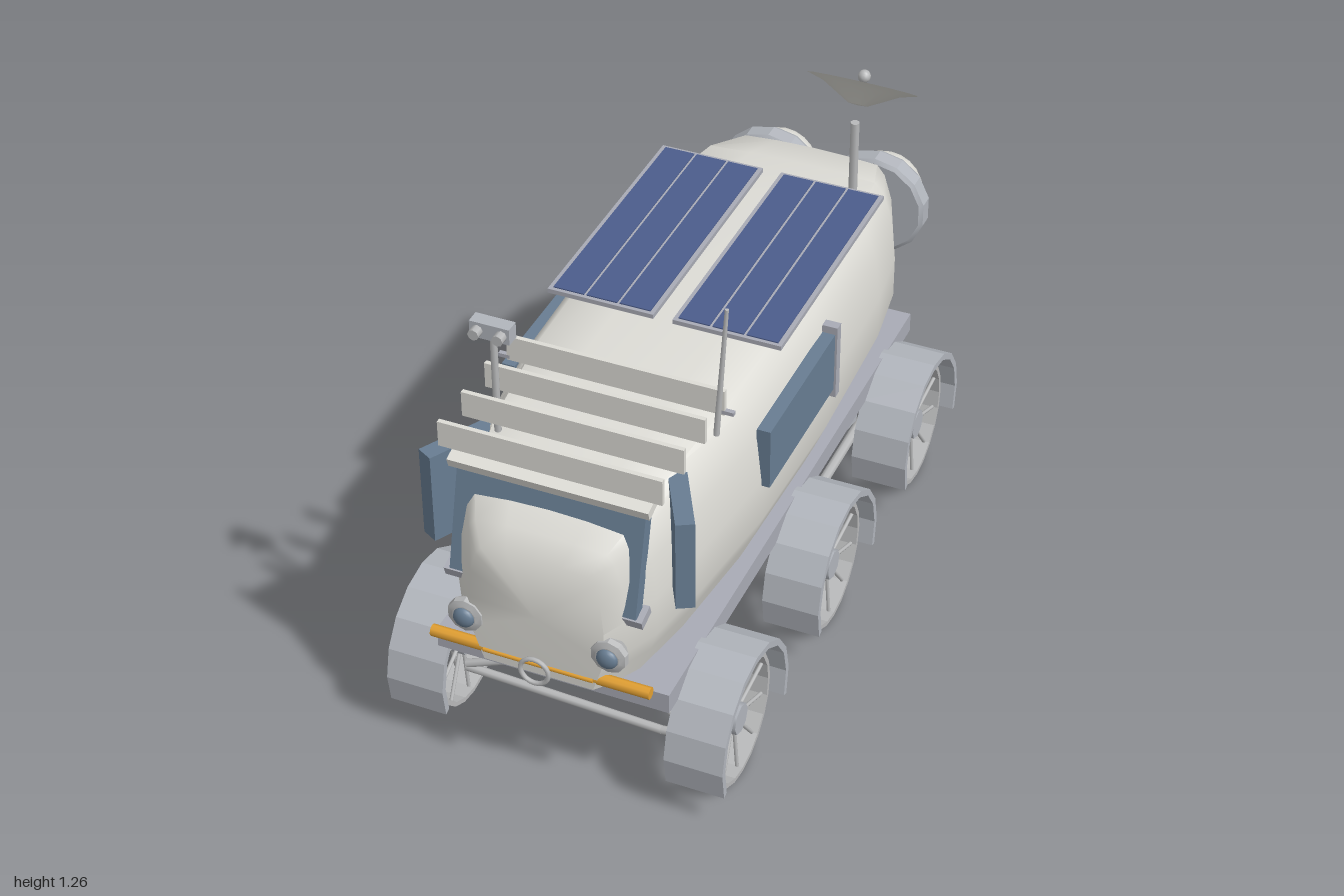
import * as THREE from 'three';
import { toCreasedNormals } from 'three/addons/utils/BufferGeometryUtils.js';

const mat = (name, color) => {
  const m = new THREE.MeshStandardMaterial({ color });
  m.name = name;
  return m;
};

export function createModel() {
  const root = new THREE.Group();
  root.name = 'rover';
  const hull = mat('hull off-white', 0xdddcd6);
  const steel = mat('chassis grey', 0xa9abb5);
  const pale = mat('fender grey', 0xb1b5bc);
  const metal = mat('light metal', 0xb8b9ba);
  const glass = mat('window blue', 0x687d92);
  const solar = mat('solar blue', 0x4c5d8c);
  const amber = mat('amber', 0xe2a032);
  const dishMat = mat('dish', 0xd8d7d0);
  dishMat.side = THREE.DoubleSide;

  const add = (name, geo, m, x = 0, y = 0, z = 0, parent = root) => {
    const mesh = new THREE.Mesh(geo, m);
    mesh.name = name;
    mesh.position.set(x, y, z);
    parent.add(mesh);
    return mesh;
  };
  const box = (name, m, w, h, d, x, y, z) => add(name, new THREE.BoxGeometry(w, h, d), m, x, y, z);
  const rod = (name, m, a, b, r, r2 = r, parent = root) => {
    const A = new THREE.Vector3(...a), B = new THREE.Vector3(...b), dir = B.clone().sub(A);
    const mesh = add(name, new THREE.CylinderGeometry(r2, r, dir.length(), 8), m, 0, 0, 0, parent);
    mesh.position.copy(A).add(B).multiplyScalar(0.5);
    mesh.quaternion.setFromUnitVectors(new THREE.Vector3(0, 1, 0), dir.normalize());
    return mesh;
  };
  const lathe = (pts, n) => toCreasedNormals(new THREE.LatheGeometry(pts.map(p => new THREE.Vector2(...p)), n), 0.3);

  // Hull: cross-sections (z, half width, roof height) lofted front to back
  const stations = [[0.97, 0.17, 0.74], [0.93, 0.21, 0.785], [0.86, 0.255, 0.84], [0.69, 0.295, 0.885],
    [0.4, 0.33, 0.9], [0, 0.34, 0.905], [-0.4, 0.325, 0.895], [-0.6, 0.295, 0.875], [-0.74, 0.24, 0.835], [-0.82, 0.16, 0.765]];
  const half = [[0.82, 0], [0.92, 0.15], [1, 0.28], [1, 0.52], [0.96, 0.76], [0.87, 0.92], [0.78, 0.98], [0.4, 0.995]];
  const loop = [...half, [0, 1], ...half.slice().reverse().map(([x, y]) => [-x, y])];
  const n = loop.length, pos = [], idx = [];
  stations.forEach(([z, w, t]) => loop.forEach(([x, y]) => pos.push(x * w, 0.395 + y * (t - 0.395), z)));
  for (let s = 0; s < stations.length - 1; s++) {
    for (let i = 0; i < n; i++) {
      const a = s * n + i, b = s * n + (i + 1) % n;
      idx.push(a, a + n, b, b, a + n, b + n);
    }
  }
  const last = (stations.length - 1) * n, c = pos.length / 3;
  pos.push(0, 0.57, 0.975, 0, 0.57, -0.825);
  for (let i = 0; i < n; i++) {
    const j = (i + 1) % n;
    idx.push(c, i, j, c + 1, last + j, last + i);
  }
  const hullGeo = new THREE.BufferGeometry();
  hullGeo.setAttribute('position', new THREE.Float32BufferAttribute(pos, 3));
  hullGeo.setIndex(idx);
  add('hull', toCreasedNormals(hullGeo, 0.75), hull);

  // Chassis: deck with a shallow frame around its underside
  box('chassisDeck', steel, 0.6, 0.03, 1.64, 0, 0.36, 0.08);
  for (const s of [-1, 1]) {
    box('chassisRail', steel, 0.025, 0.025, 1.64, s * 0.2875, 0.3325, 0.08);
    box('chassisEnd', steel, 0.55, 0.025, 0.025, 0, 0.3325, 0.08 + s * 0.8075);
  }

  // Windshield, brow and sill
  box('windshield', glass, 0.47, 0.28, 0.035, 0, 0.745, 0.885).rotation.x = -0.25;
  box('windshieldBrow', hull, 0.5, 0.025, 0.06, 0, 0.893, 0.86).rotation.x = 0.3;
  box('windshieldSill', steel, 0.5, 0.025, 0.05, 0, 0.605, 0.91).rotation.x = 0.3;

  // Angled cab windows and side windows
  const quarter = new THREE.Shape([[0, 0.62], [0.125, 0.62], [0.187, 0.865], [0, 0.865]].map(p => new THREE.Vector2(...p)));
  const quarterGeo = new THREE.ExtrudeGeometry(quarter, { depth: 0.045, bevelEnabled: false }).translate(0, 0, -0.0225);
  for (const s of [-1, 1]) {
    add('cabWindow', quarterGeo, glass, s * 0.325, 0, 0.86).rotation.y = s > 0 ? 2.07 : 1.07;
    box('sideWindow', glass, 0.035, 0.165, 0.43, s * 0.332, 0.727, 0.197);
    box('windowRail', steel, 0.04, 0.21, 0.025, s * 0.335, 0.725, -0.022);
  }

  // Headlights, bumper and tow ring
  const ringGeo = lathe([[0, 0], [0.03, 0], [0.047, 0.025], [0.045, 0.04], [0.03, 0.045], [0, 0.045]], 10).rotateX(Math.PI / 2);
  for (const s of [-1, 1]) {
    add('headlightRing', ringGeo, metal, s * 0.182, 0.515, 0.935);
    add('headlightLens', new THREE.SphereGeometry(0.027, 14, 10).scale(1, 1, 0.6), glass, s * 0.182, 0.515, 0.98);
    rod('bumperEnd', amber, [s * 0.12, 0.424, 0.957], [s * 0.28, 0.424, 0.957], 0.015);
  }
  rod('bumperBar', amber, [-0.14, 0.424, 0.97], [0.14, 0.424, 0.97], 0.006);
  add('towRing', new THREE.TorusGeometry(0.036, 0.006, 8, 20), metal, 0, 0.42, 0.99);

  // Solar panels: grey trays with three thin blue strips
  for (const s of [-1, 1]) {
    box('solarTray', steel, 0.28, 0.012, 0.7, s * 0.165, 0.924, -0.11);
    for (let i = -1; i <= 1; i++) box('solarStrip', solar, 0.081, 0.004, 0.68, s * 0.165 + i * 0.088, 0.931, -0.11);
  }

  // Roof slats
  for (const z of [0.87, 0.75, 0.63, 0.515]) box('roofSlat', hull, 0.555, 0.068, 0.012, 0, 0.95, z);
  for (const s of [-1, 1]) box('slatPin', steel, 0.03, 0.01, 0.012, s * 0.285, 0.924, 0.515);

  // Camera mast
  rod('cameraMast', metal, [-0.205, 0.87, 0.72], [-0.205, 1.15, 0.72], 0.009);
  box('cameraHead', pale, 0.1, 0.042, 0.035, -0.205, 1.16, 0.722);
  for (const x of [-0.235, -0.175]) rod('cameraLens', metal, [x, 1.16, 0.735], [x, 1.16, 0.762], 0.014);

  // Whip antenna
  rod('antenna', metal, [0.27, 0.88, 0.55], [0.294, 1.24, 0.55], 0.008, 0.005);

  // Dish on its mast, with a wide rim around a conical bowl
  rod('dishMast', metal, [0.203, 0.87, -0.51], [0.203, 1.095, -0.51], 0.012);
  const dish = new THREE.Group();
  dish.name = 'dish';
  dish.position.set(0.203, 1.183, -0.555);
  dish.rotation.x = -0.61;
  root.add(dish);
  add('dishBowl', lathe([[0, -0.055], [0.025, -0.053], [0.1, -0.012], [0.143, 0]], 16), dishMat, 0, 0, 0, dish);
  add('dishFeed', new THREE.SphereGeometry(0.017, 12, 8), metal, 0, 0.02, 0, dish);

  // Rear domes
  const collarGeo = lathe([[0, 0], [0.135, 0], [0.146, 0.008], [0.146, 0.05], [0.13, 0.075], [0, 0.075]], 14).rotateX(-Math.PI / 2);
  const capGeo = new THREE.SphereGeometry(0.112, 20, 10, 0, Math.PI * 2, 0, Math.PI / 2).rotateX(-Math.PI / 2);
  for (const s of [-1, 1]) {
    add('domeCollar', collarGeo, pale, s * 0.153, 0.645, -0.81);
    add('dome', capGeo, hull, s * 0.153, 0.645, -0.885);
  }

  // Ladder
  for (const s of [-1, 1]) rod('ladderPost', metal, [s * 0.083, 0.5, -0.84], [s * 0.083, 0.08, -0.853], 0.006);
  for (let y = 0.13; y < 0.5; y += 0.08) rod('ladderRung', metal, [-0.083, y, -0.85], [0.083, y, -0.85], 0.004);

  // Wheels with spokes, hubs and fenders
  const R = 0.17;
  const bandGeo = lathe([[0.158, -0.045], [R, -0.045], [R, 0.045], [0.158, 0.045], [0.158, -0.045]], 20).rotateZ(Math.PI / 2);
  const arc = (r, i) => {
    const a = -0.34 + (Math.PI + 0.68) * i / 10;
    return new THREE.Vector2(r * Math.cos(a), r * Math.sin(a));
  };
  const steps = [...Array(11).keys()];
  const fenderShape = new THREE.Shape([...steps.map(i => arc(0.209, i)), ...steps.reverse().map(i => arc(0.192, i))]);
  const fenderGeo = new THREE.ExtrudeGeometry(fenderShape, { depth: 0.15, bevelEnabled: false })
    .translate(0, 0, -0.075).rotateY(Math.PI / 2);
  for (const s of [-1, 1]) {
    for (const z of [0.705, 0.09, -0.54]) {
      const wheel = new THREE.Group();
      wheel.name = 'wheel';
      wheel.position.set(s * 0.362, R, z);
      root.add(wheel);
      add('tyre', bandGeo, metal, 0, 0, 0, wheel);
      rod('hub', pale, [-0.04, 0, 0], [0.04, 0, 0], 0.04, 0.04, wheel);
      for (let i = 0; i < 20; i++) {
        const a = i * Math.PI / 10, x = i % 2 ? 0.03 : -0.03;
        rod('spoke', metal, [x * 0.7, 0.03 * Math.sin(a), 0.03 * Math.cos(a)],
          [x, 0.162 * Math.sin(a), 0.162 * Math.cos(a)], 0.005, 0.005, wheel);
      }
      add('fender', fenderGeo, pale, s * 0.365, R, z);
      rod('stubAxle', steel, [s * 0.25, R, z], [s * 0.33, R, z], 0.016);
    }
    // Trailing arms along each side
    rod('trailingRod', metal, [s * 0.27, 0.205, 0.08], [s * 0.27, 0.205, -0.52], 0.014);
    box('rockerBeam', pale, 0.025, 0.035, 0.65, s * 0.25, 0.3, 0.3);
    box('rearLink', pale, 0.025, 0.03, 0.25, s * 0.25, 0.26, -0.32).rotation.x = -0.25;
  }

  // Front suspension: crossing links between the wheels
  for (const dz of [-0.06, 0.06]) {
    const z = 0.705 + dz;
    rod('upperLink', metal, [-0.3, 0.24, z], [0.3, 0.255, z], 0.011);
    rod('lowerLink', metal, [-0.3, 0.14, z], [0.22, 0.12, z], 0.011);
    rod('lowerLinkEnd', metal, [0.22, 0.12, z], [0.3, 0.13, z], 0.011);
    rod('diagonalLink', metal, [-0.3, 0.15, z], [0.15, 0.3, 0.705], 0.011);
    rod('upperBrace', metal, [0.15, 0.3, 0.705], [0.3, 0.25, z], 0.011);
    rod('lowerBrace', metal, [0.13, 0.23, 0.705], [0.3, 0.13, z], 0.011);
  }
  return root;
}
